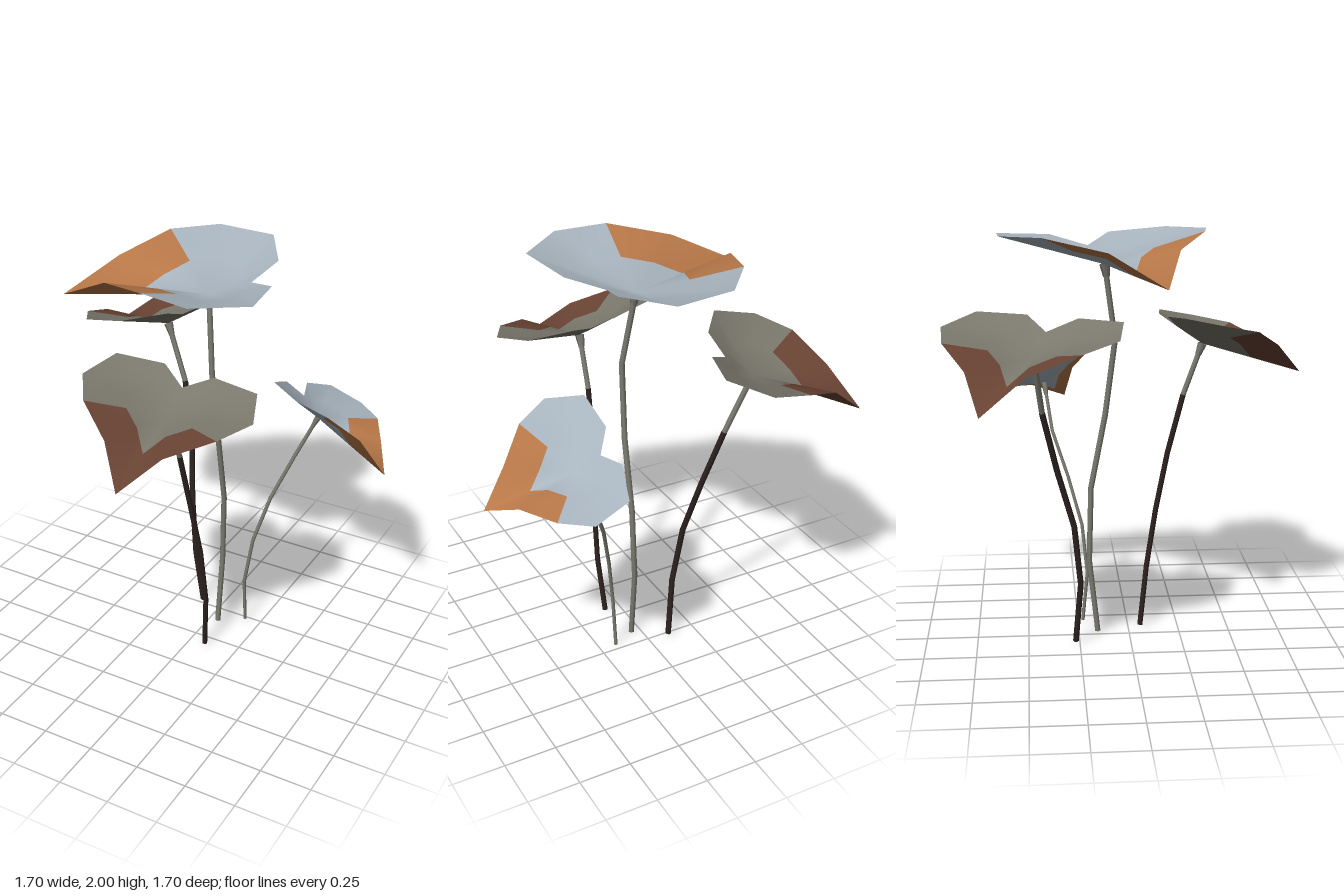
import * as THREE from 'three';

const V = (p) => new THREE.Vector3(...p);
const mat = (color, smooth = true) =>
  new THREE.MeshStandardMaterial({ color, side: THREE.DoubleSide, flatShading: !smooth });

// Half outline of the heart-shaped blade: [along axis, height, sideways], from tip to notch
const HALF = [
  [0.684, -0.04, 0], [0.45, 0.1, 0.174], [0.245, 0.157, 0.404], [0.022, 0.15, 0.524],
  [-0.245, 0.14, 0.44], [-0.297, 0.12, 0.155], [-0.19, 0.07, 0],
];
const OUTLINE = [...HALF, ...HALF.slice(1, 6).reverse().map(([u, h, v]) => [u, h, -v])];

const PALE = { blade: 0xa8b4be, tip: 0xb87848 };
const DULL = { blade: 0x7a776c, tip: 0x6a4434 };
const STEM = 0x7d7c72, DARK = 0x2e2320;

// Each plant: blade centre, tip and two side corners; stem path from the ground up
const PLANTS = [
  { name: 'tallLeaf', colors: PALE, radius: 0.016, dark: 0,
    centre: [0.005, 1.84, -0.12], tip: [-0.635, 1.8, 0.12],
    corners: [[-0.09, 1.997, 0.34], [-0.365, 1.997, -0.42]],
    path: [[0.045, 0, -0.155], [0.05, 0.48, -0.2], [0.06, 0.81, -0.175], [0.06, 1.15, -0.105],
      [0.05, 1.47, -0.065], [0.005, 1.84, -0.115]] },
  { name: 'rightBackLeaf', colors: DULL, radius: 0.014, dark: 5,
    centre: [-0.41, 1.48, -0.455], tip: [-0.855, 1.31, -0.685],
    corners: [[-0.78, 1.555, -0.245], [-0.47, 1.56, -0.845]],
    path: [[-0.105, 0.01, -0.27], [-0.14, 0.35, -0.245], [-0.18, 0.67, -0.285], [-0.225, 0.93, -0.36],
      [-0.295, 1.2, -0.42], [-0.41, 1.48, -0.455]] },
  { name: 'frontLeaf', colors: DULL, radius: 0.014, dark: 5,
    centre: [0.06, 1.45, 0.355], tip: [0.08, 1.305, 0.835],
    corners: [[-0.2, 1.545, 0.57], [0.435, 1.48, 0.565]],
    path: [[0.085, 0.01, 0.06], [0.11, 0.36, 0.1], [0.1, 0.65, 0.145], [0.075, 0.92, 0.195],
      [0.062, 1.2, 0.265], [0.06, 1.45, 0.355]] },
  { name: 'leftBackLeaf', colors: PALE, radius: 0.01, dark: 0,
    centre: [0.45, 1.19, -0.4], tip: [0.85, 1.04, -0.29],
    corners: [[0.595, 1.36, -0.15], [0.65, 1.14, -0.65]],
    path: [[0.17, 0.01, -0.225], [0.175, 0.3, -0.2], [0.215, 0.56, -0.235], [0.28, 0.79, -0.305],
      [0.365, 1, -0.375], [0.45, 1.19, -0.4]] },
];

// Blade with a centre point, a half-size ring and the outline; the tip is a second colour
function makeBlade({ centre, tip, corners, colors }) {
  const c = V(centre), axis = V(tip).sub(c), side = V(corners[0]).sub(V(corners[1]));
  const su = axis.length() / 0.685, sv = side.length() / 0.808, sh = (su + sv) / 2;
  axis.normalize();
  side.addScaledVector(axis, -side.dot(axis)).normalize();
  const up = side.clone().cross(axis);
  if (up.y < 0) { up.negate(); side.negate(); }
  axis.applyAxisAngle(side, 0.058);
  up.applyAxisAngle(side, 0.058);
  const frame = new THREE.Matrix4()
    .makeBasis(axis.multiplyScalar(su), up.multiplyScalar(sh), side.multiplyScalar(sv))
    .setPosition(c);

  const n = OUTLINE.length;
  const points = [[0, 0, 0], ...OUTLINE.map((p) => p.map((k) => k * 0.5)), ...OUTLINE];
  const main = [], end = [];
  for (let j = 0; j < n; j++) {
    const k = (j + 1) % n, a = 1 + j, b = 1 + k, d = a + n, e = b + n;
    main.push(0, b, a);
    const target = j < 2 || j >= n - 2 ? end : main;
    // Mirror the quad diagonal on the two halves
    if (j < n / 2) target.push(a, b, d, b, e, d);
    else target.push(a, b, e, a, e, d);
  }
  const geo = new THREE.BufferGeometry();
  geo.setAttribute('position', new THREE.Float32BufferAttribute(points.flat(), 3));
  geo.setIndex([...main, ...end]);
  geo.applyMatrix4(frame);
  geo.computeVertexNormals();
  const tipGeo = geo.clone();
  geo.setIndex(main);
  tipGeo.setIndex(end);

  const blade = new THREE.Mesh(geo, mat(colors.blade));
  blade.name = 'blade';
  const bladeTip = new THREE.Mesh(tipGeo, mat(colors.tip));
  bladeTip.name = 'bladeTip';
  return [blade, bladeTip];
}

// One faceted length of stem through the given points
function makeTube(points, radius, color, name) {
  const path = new THREE.CatmullRomCurve3(points);
  const mesh = new THREE.Mesh(
    new THREE.TubeGeometry(path, points.length - 1, radius, 6), mat(color));
  mesh.name = name;
  return mesh;
}

// Stem, darker towards the ground, with a flared joint under the blade
function makeStem({ path, radius, dark }) {
  const pts = path.map(V), parts = [];
  const split = dark ? dark - 1 : 0;
  if (split) parts.push(makeTube(pts.slice(0, split + 1), radius, DARK, 'lowerStem'));
  parts.push(makeTube(pts.slice(split), radius * 0.95, STEM, 'upperStem'));

  const top = pts[pts.length - 1];
  const dir = top.clone().sub(pts[pts.length - 2]).normalize();
  const joint = new THREE.Mesh(
    new THREE.CylinderGeometry(radius * 1.6, radius, 0.06, 6, 1, true), mat(STEM));
  joint.name = 'stemJoint';
  joint.quaternion.setFromUnitVectors(new THREE.Vector3(0, 1, 0), dir);
  joint.position.copy(top).addScaledVector(dir, -0.03);
  return [...parts, joint];
}

export function createModel() {
  const model = new THREE.Group();
  model.name = 'leafCluster';
  for (const plant of PLANTS) {
    const group = new THREE.Group();
    group.name = plant.name;
    group.add(...makeBlade(plant), ...makeStem(plant));
    model.add(group);
  }
  return model;
}
